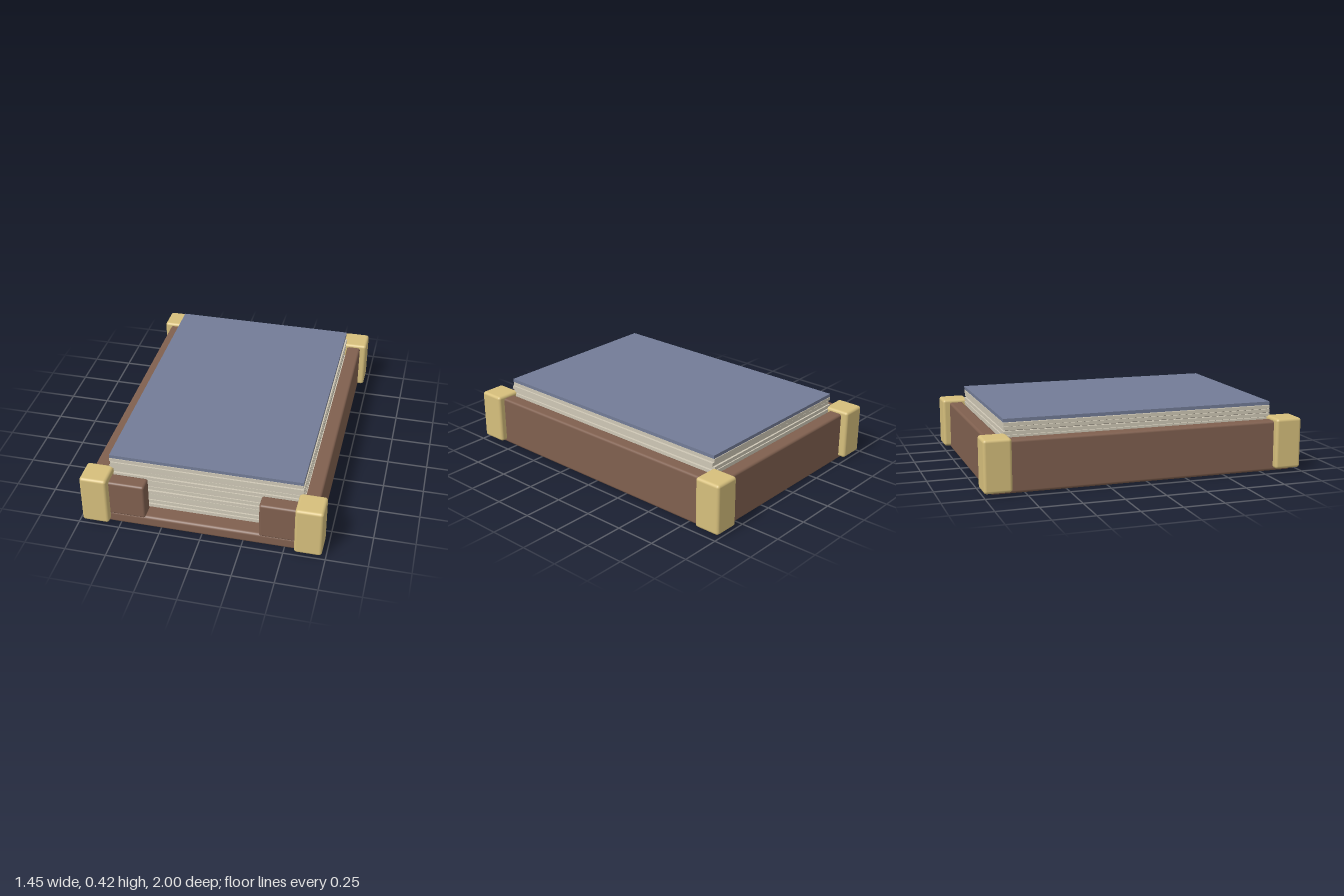
import * as THREE from 'three';
import { RoundedBoxGeometry } from 'three/addons/geometries/RoundedBoxGeometry.js';

const mat = (name, color) => {
  const m = new THREE.MeshStandardMaterial({ color });
  m.name = name;
  return m;
};

export function createModel() {
  const wood = mat('brown wood', 0x80604f);
  const brass = mat('pale brass', 0xd6bf7c);
  const paper = mat('cream paper', 0xcfc8b6);
  const gap = mat('shaded paper gap', 0x6e685e);
  const blue = mat('slate blue cover', 0x737c97);

  const model = new THREE.Group();

  // Box given by its min and max corners, with optional rounded edges
  const box = (name, material, min, max, radius = 0, parent = model) => {
    const s = max.map((v, i) => v - min[i]);
    const geo = radius ? new RoundedBoxGeometry(...s, 3, radius) : new THREE.BoxGeometry(...s);
    const mesh = new THREE.Mesh(geo, material);
    mesh.name = name;
    mesh.position.set(...max.map((v, i) => (v + min[i]) / 2));
    parent.add(mesh);
    return mesh;
  };

  // Tray floor and back wall
  box('trayFloor', wood, [-0.685, 0, -0.955], [0.685, 0.075, 0.955], 0.018);
  box('backWall', wood, [-0.66, 0.01, -0.955], [0.66, 0.315, -0.865], 0.015);

  // Side walls, front wall stubs and corner caps, mirrored left and right
  for (const s of [-1, 1]) {
    const side = s > 0 ? 'left' : 'right';
    const span = (a, b) => (s > 0 ? [a, b] : [-b, -a]);
    const [w0, w1] = span(0.595, 0.685);
    box(`${side}Wall`, wood, [w0, 0.01, -0.94], [w1, 0.315, 0.94], 0.015);
    const [f0, f1] = span(0.345, 0.66);
    box(`${side}FrontWall`, wood, [f0, 0.06, 0.86], [f1, 0.295, 0.955], 0.015);
    const [c0, c1] = span(0.562, 0.727);
    box(`${side}FrontCorner`, brass, [c0, 0.018, 0.832], [c1, 0.334, 1], 0.018);
    box(`${side}BackCorner`, brass, [c0, 0.018, -1], [c1, 0.334, -0.832], 0.018);
  }

  // Stack of slightly shifted sheets around a recessed core
  const stack = new THREE.Group();
  stack.name = 'sheetStack';
  model.add(stack);
  box('stackCore', gap, [-0.57, 0.07, -0.835], [0.57, 0.4, 0.835], 0, stack);
  const count = 13, pitch = 0.325 / count;
  for (let i = 0; i < count; i++) {
    const y = 0.075 + i * pitch;
    const sheet = box('sheet', paper, [-0.583, y, -0.85], [0.583, y + pitch - 0.004, 0.85], 0, stack);
    sheet.position.x += 0.005 * Math.sin(i * 2.4);
    sheet.position.z += 0.005 * Math.cos(i * 1.7);
    sheet.rotation.y = 0.003 * Math.sin(i * 3.1 + 1);
  }

  // Cover on top of the stack
  box('topCover', blue, [-0.583, 0.399, -0.85], [0.583, 0.42, 0.85]);

  return model;
}
